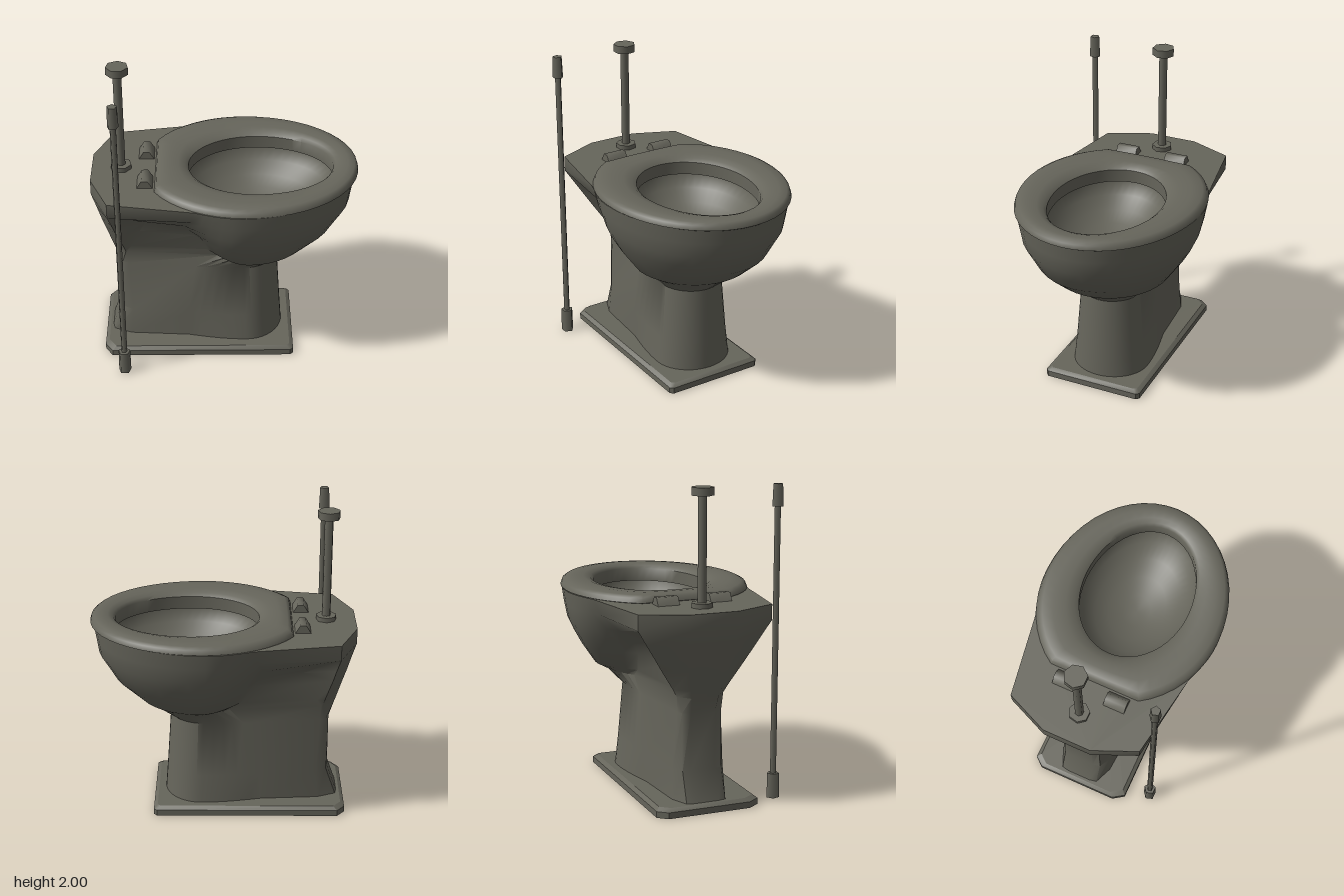
import * as THREE from 'three';
import { toCreasedNormals } from 'three/addons/utils/BufferGeometryUtils.js';

const ceramic = new THREE.MeshStandardMaterial({ color: 0x66655b, side: THREE.DoubleSide });
ceramic.name = 'warm grey';

function add(parent, name, geometry, x = 0, y = 0, z = 0) {
  const mesh = new THREE.Mesh(geometry, ceramic);
  mesh.name = name;
  mesh.position.set(x, y, z);
  parent.add(mesh);
  return mesh;
}

// Skin over closed rings of [x, y, z], each anticlockwise seen from above
function loft(rings, crease) {
  const n = rings[0].length, index = [];
  for (let j = 0; j < rings.length - 1; j++) {
    for (let k = 0; k < n; k++) {
      const a = j * n + k, b = j * n + (k + 1) % n;
      index.push(a, b, b + n, a, b + n, a + n);
    }
  }
  const g = new THREE.BufferGeometry();
  g.setAttribute('position', new THREE.Float32BufferAttribute(rings.flat(2), 3));
  g.setIndex(index);
  return toCreasedNormals(g, crease);
}

// Egg-shaped ring: separate front and back half-lengths, optional straight back
function egg(y, cx, front, back, half, cut = -9, n = 48) {
  return Array.from({ length: n }, (_, i) => {
    const t = (i / n) * Math.PI * 2, c = Math.cos(t);
    return [Math.max(cut, cx + c * (c > 0 ? front : back)), y, -half * Math.sin(t)];
  });
}

const mix = (a, b, t) => a.map((p, i) => p.map((v, k) => v + (b[i][k] - v) * t));

// One horizontal section of the body: angular back, narrow waist, curved front
function section([y, xb, zb, xe, ze, xc, zc, xw, zw, cx, zm, xf]) {
  const half = [[xb, zb], [xe, ze], [xc, zc]];
  for (let i = 0; i <= 5; i++) {
    const s = i / 5;
    half.push([xw + (cx - xw) * s, zw + (zm - zw) * Math.sin(s * Math.PI / 2)]);
  }
  for (let i = 1; i < 10; i++) {
    const t = (i / 10) * Math.PI / 2;
    half.push([cx + (xf - cx) * Math.sin(t), zm * Math.cos(t)]);
  }
  const left = half.map(([x, z]) => [x, y, z]);
  const right = half.map(([x, z]) => [x, y, -z]).reverse();
  return [...left, [xf, y, 0], ...right];
}

// Floor plate outline with clipped corners, larger clips at the back
function plate(y, inset) {
  const x0 = -0.81 + inset, x1 = 0.45 - inset, z0 = -0.33 + inset, z1 = 0.35 - inset;
  return [[x0, z1 - 0.075], [x0 + 0.05, z1], [x1 - 0.02, z1], [x1, z1 - 0.02],
    [x1, z0 + 0.02], [x1 - 0.02, z0], [x0 + 0.05, z0], [x0, z0 + 0.06]].map(([x, z]) => [x, y, z]);
}

export function createModel() {
  const model = new THREE.Group();
  model.name = 'toilet';

  // Floor plate with chamfered top, open underneath
  const centre = Array(8).fill([-0.18, 0.06, 0.01]);
  add(model, 'basePlate', loft([plate(0, 0), plate(0.04, 0), plate(0.06, 0.025), centre], 0.5));

  // Pedestal flowing up into the bowl, with the undercut deck behind
  const levels = [
    // y, back x z, panel edge x z, corner x z, waist x z, widest x z, front x
    [0.05, -0.77, 0.08, -0.76, 0.13, -0.64, 0.18, -0.25, 0.205, 0.14, 0.26, 0.38],
    [0.25, -0.70, 0.08, -0.69, 0.13, -0.62, 0.17, -0.25, 0.205, 0.13, 0.24, 0.365],
    [0.62, -0.70, 0.08, -0.68, 0.13, -0.64, 0.145, -0.20, 0.195, 0.12, 0.21, 0.34],
    [0.72, -0.73, 0.09, -0.655, 0.155, -0.645, 0.155, -0.05, 0.205, 0.18, 0.30, 0.47],
    [0.77, -0.745, 0.10, -0.663, 0.185, -0.617, 0.165, -0.12, 0.21, 0.14, 0.39, 0.55],
    [0.90, -0.78, 0.13, -0.688, 0.27, -0.557, 0.185, -0.20, 0.235, 0.11, 0.48, 0.70],
    [0.98, -0.805, 0.14, -0.705, 0.32, -0.52, 0.205, -0.25, 0.28, 0.10, 0.525, 0.745],
    [1.07, -0.83, 0.15, -0.72, 0.377, -0.62, 0.31, -0.26, 0.38, 0.10, 0.565, 0.80],
    [1.17, -0.86, 0.16, -0.74, 0.44, -0.735, 0.44, -0.22, 0.49, 0.10, 0.585, 0.815],
    [1.27, -0.86, 0.16, -0.74, 0.44, -0.735, 0.441, -0.20, 0.53, 0.10, 0.60, 0.83],
  ].map(section);
  add(model, 'body', loft(levels, 0.85));

  // Flat deck with the bowl opening
  const toPoint = ([x, , z]) => new THREE.Vector2(x, -z);
  const rim = egg(1.27, 0.2, 0.51, 0.46, 0.375);
  const deck = new THREE.Shape(levels[levels.length - 1].map(toPoint));
  deck.holes.push(new THREE.Path(rim.map(toPoint)));
  add(model, 'deck', new THREE.ShapeGeometry(deck).rotateX(-Math.PI / 2), 0, 1.27, 0);

  // Inside of the bowl
  const basin = [[1.27, 1], [1.19, 0.99], [1.12, 0.88], [1.05, 0.7], [1.0, 0.48], [0.97, 0.24], [0.96, 0]];
  add(model, 'basin', loft(basin.map(([y, s]) => egg(y, 0.2, 0.51 * s, 0.46 * s, 0.375 * s)), 0.9));

  // Rounded seat ring, cut straight at the hinge side
  const outer = egg(0, 0.12, 0.73, 0.66, 0.6, -0.45);
  const inner = egg(0, 0.2, 0.49, 0.44, 0.355);
  const seatProfile = [[0.06, 1.268], [0, 1.274], [0.045, 1.303], [0.15, 1.317], [0.4, 1.322],
    [0.7, 1.317], [0.9, 1.305], [1, 1.285], [1, 1.2]];
  add(model, 'seat', loft(seatProfile.map(([t, y]) => mix(outer, inner, t).map(([x, , z]) => [x, y, z])), 0.8));

  // Seat hinges
  const hinge = new THREE.Shape([[-0.05, 0], [0.05, 0], [0.02, 0.05], [-0.02, 0.05]]
    .map(([x, y]) => new THREE.Vector2(x, y)));
  for (const z of [0.11, -0.24]) {
    const block = new THREE.ExtrudeGeometry(hinge, { depth: 0.142, bevelEnabled: false });
    add(model, 'hinge', toCreasedNormals(block, 1.2), -0.512, 1.27, z);
  }

  // Upright pipes: [name, top radius, bottom radius, y from, y to, sides, z]
  for (const [name, r1, r0, y0, y1, sides, z] of [
    ['flushPipeCollar', 0.067, 0.067, 1.27, 1.30, 7, 0],
    ['flushPipe', 0.028, 0.028, 1.28, 1.96, 7, 0],
    ['flushPipeCap', 0.072, 0.072, 1.95, 2.00, 7, 0],
    ['supplyPipeFoot', 0.04, 0.042, 0, 0.16, 5, 0.5],
    ['supplyPipe', 0.02, 0.02, 0.1, 1.9, 5, 0.5],
    ['supplyPipeTop', 0.031, 0.036, 1.86, 2.00, 5, 0.5],
  ]) {
    const pipe = new THREE.CylinderGeometry(r1, r0, y1 - y0, sides).rotateY(Math.PI);
    add(model, name, pipe, -0.67, (y0 + y1) / 2, z);
  }
  return model;
}
